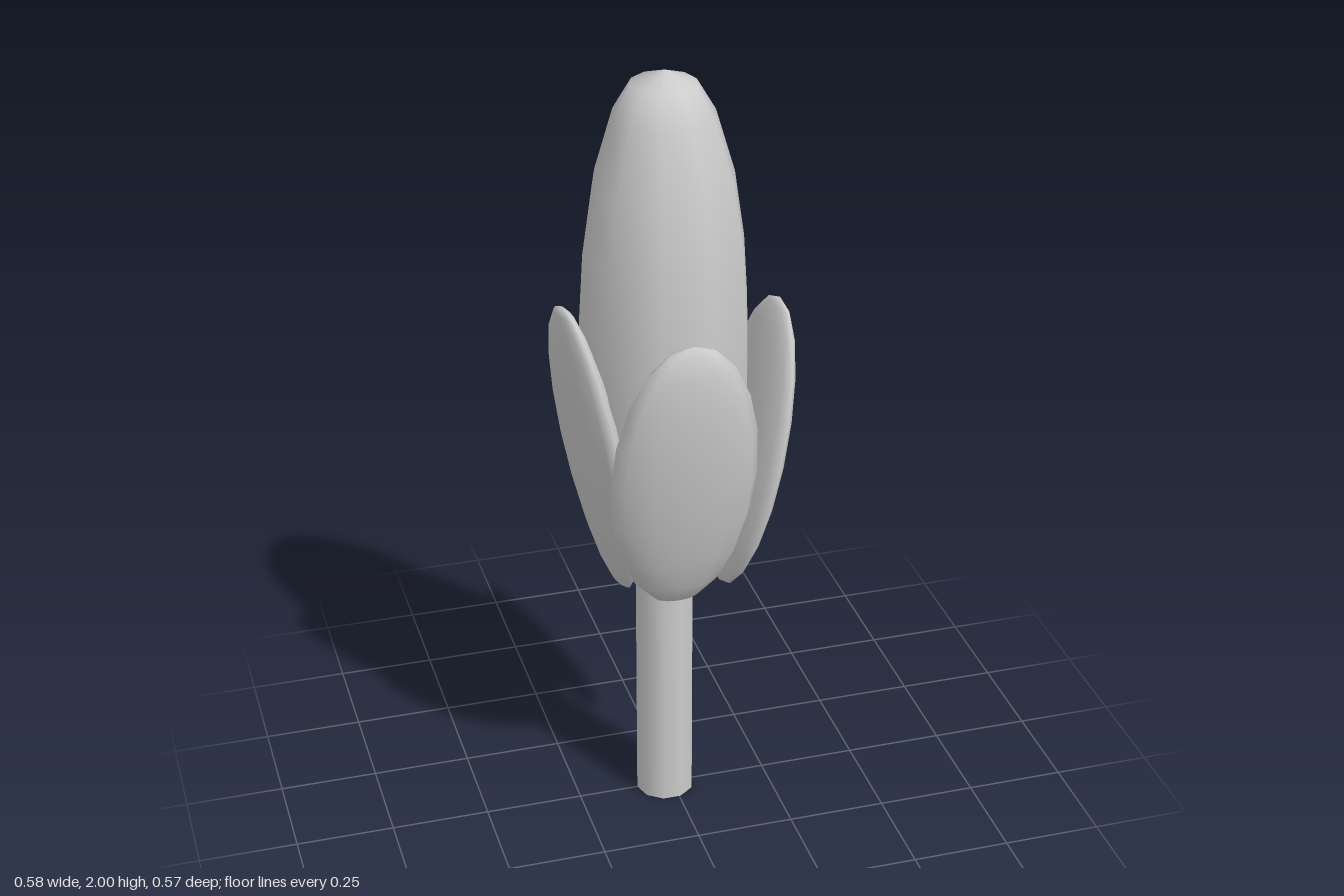
import * as THREE from 'three';

const material = new THREE.MeshStandardMaterial({ color: 0xcccccc });
const CENTER_X = -0.02;

function addMesh(parent, name, geometry, x, y, z) {
  const mesh = new THREE.Mesh(geometry, material);
  mesh.name = name;
  mesh.position.set(x, y, z);
  parent.add(mesh);
  return mesh;
}

export function createModel() {
  const group = new THREE.Group();
  group.name = 'flowerBud';

  // Straight round stem reaching up into the bud
  addMesh(group, 'stem', new THREE.CylinderGeometry(0.075, 0.075, 0.72, 10), CENTER_X, 0.36, 0)
    .rotation.y = Math.PI / 2;

  // Tall closed bud, fuller below than at the tip
  const profile = [
    [0, 0.62], [0.07, 0.64], [0.12, 0.7], [0.165, 0.81], [0.195, 0.97], [0.213, 1.2],
    [0.21, 1.4], [0.2, 1.56], [0.175, 1.73], [0.127, 1.89], [0.08, 1.97], [0, 2.0],
  ].map(([r, y]) => new THREE.Vector2(r, y));
  addMesh(group, 'bud', new THREE.LatheGeometry(profile, 10, Math.PI / 2), CENTER_X, 0, 0);

  // Four flattened sepals leaning outwards, each a little different:
  // centre, half width / length / thickness, heading and lean in degrees
  const sepals = [
    { name: 'frontSepal', at: [CENTER_X, 1.02, 0.18], size: [0.185, 0.398, 0.075], heading: 0, lean: 11 },
    { name: 'leftSepal', at: [0.2, 0.995, 0], size: [0.178, 0.392, 0.042], heading: 98, lean: 11.5 },
    { name: 'backSepal', at: [CENTER_X, 0.967, -0.17], size: [0.185, 0.4, 0.07], heading: 180, lean: 13.5 },
    { name: 'rightSepal', at: [-0.2, 1.03, 0], size: [0.16, 0.415, 0.046], heading: -78, lean: 10.5 },
  ];
  for (const { name, at, size, heading, lean } of sepals) {
    const geometry = new THREE.SphereGeometry(1, 12, 10).scale(...size);
    const sepal = addMesh(group, name, geometry, ...at);
    sepal.rotation.set(THREE.MathUtils.degToRad(lean), THREE.MathUtils.degToRad(heading), 0, 'YXZ');
  }

  return group;
}
